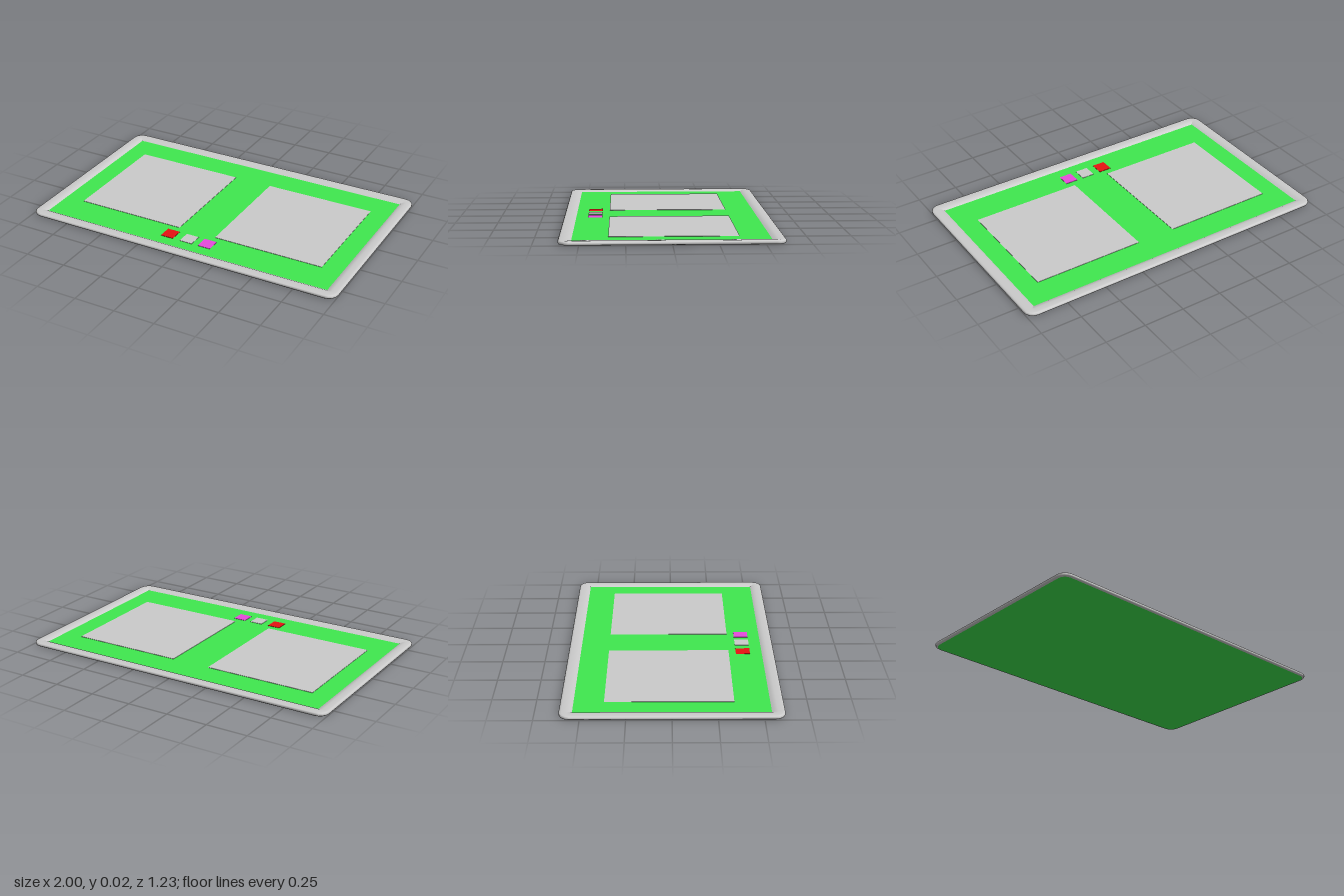
import * as THREE from 'three';

const HX = 1, HZ = 0.615, CORNER = 0.06, SEG = 4;
const DECK = 0.012;

// Rounded rectangle in plan, shrunk by an inset, as [x, z] points
function outline(inset) {
  const r = Math.max(CORNER - inset, 0.002);
  const cx = HX - inset - r, cz = HZ - inset - r;
  const points = [];
  [[1, 1], [-1, 1], [-1, -1], [1, -1]].forEach(([sx, sz], q) => {
    for (let i = 0; i <= SEG; i++) {
      const a = (q + i / SEG) * Math.PI / 2;
      points.push([sx * cx + r * Math.cos(a), sz * cz + r * Math.sin(a)]);
    }
  });
  return points;
}

// Skin over a cross-section of [inset, height] points swept round the outline
function frameGeometry(section) {
  const positions = [], index = [];
  const n = 4 * (SEG + 1);
  section.forEach(([inset, y]) => {
    outline(inset).forEach(([x, z]) => positions.push(x, y, z));
  });
  for (let k = 0; k < section.length - 1; k++) {
    for (let i = 0; i < n; i++) {
      const a = k * n + i, b = k * n + (i + 1) % n;
      index.push(a, a + n, b, b, a + n, b + n);
    }
  }
  const geometry = new THREE.BufferGeometry();
  geometry.setAttribute('position', new THREE.Float32BufferAttribute(positions, 3));
  geometry.setIndex(index);
  geometry.computeVertexNormals();
  return geometry;
}

export function createModel() {
  const model = new THREE.Group();
  const material = (color) => new THREE.MeshStandardMaterial({ color });
  const grey = material(0xcccccc);

  function add(name, geometry, mat) {
    const mesh = new THREE.Mesh(geometry, mat);
    mesh.name = name;
    model.add(mesh);
    return mesh;
  }

  // Raised rim with rounded outer edge, sloping in to the panel
  add('frame', frameGeometry([
    [0.014, 0], [0.003, 0.003], [0, 0.008], [0, 0.016], [0.004, 0.02],
    [0.014, 0.023], [0.04, 0.023], [0.058, 0.02], [0.072, DECK],
  ]), grey);

  // Panel, whose underside shows inside the rim
  const shape = new THREE.Shape(outline(0.014).map(([x, z]) => new THREE.Vector2(x, -z)));
  const panel = new THREE.ExtrudeGeometry(shape, { depth: DECK, bevelEnabled: false });
  panel.rotateX(-Math.PI / 2);
  add('panel', panel, material(0x40e84f));

  // Thin rectangles lying on the panel
  function tile(name, x, z, width, depth, mat) {
    const mesh = add(name, new THREE.BoxGeometry(width, 0.002, depth), mat);
    mesh.position.set(x, DECK + 0.001, z);
  }
  tile('rightScreen', -0.463, -0.015, 0.685, 0.72, grey);
  tile('leftScreen', 0.463, -0.015, 0.685, 0.72, grey);
  tile('redButton', -0.133, 0.43, 0.08, 0.085, material(0xe81212));
  tile('greyButton', -0.005, 0.43, 0.08, 0.085, grey);
  tile('magentaButton', 0.115, 0.43, 0.08, 0.085, material(0xe84adc));

  return model;
}
